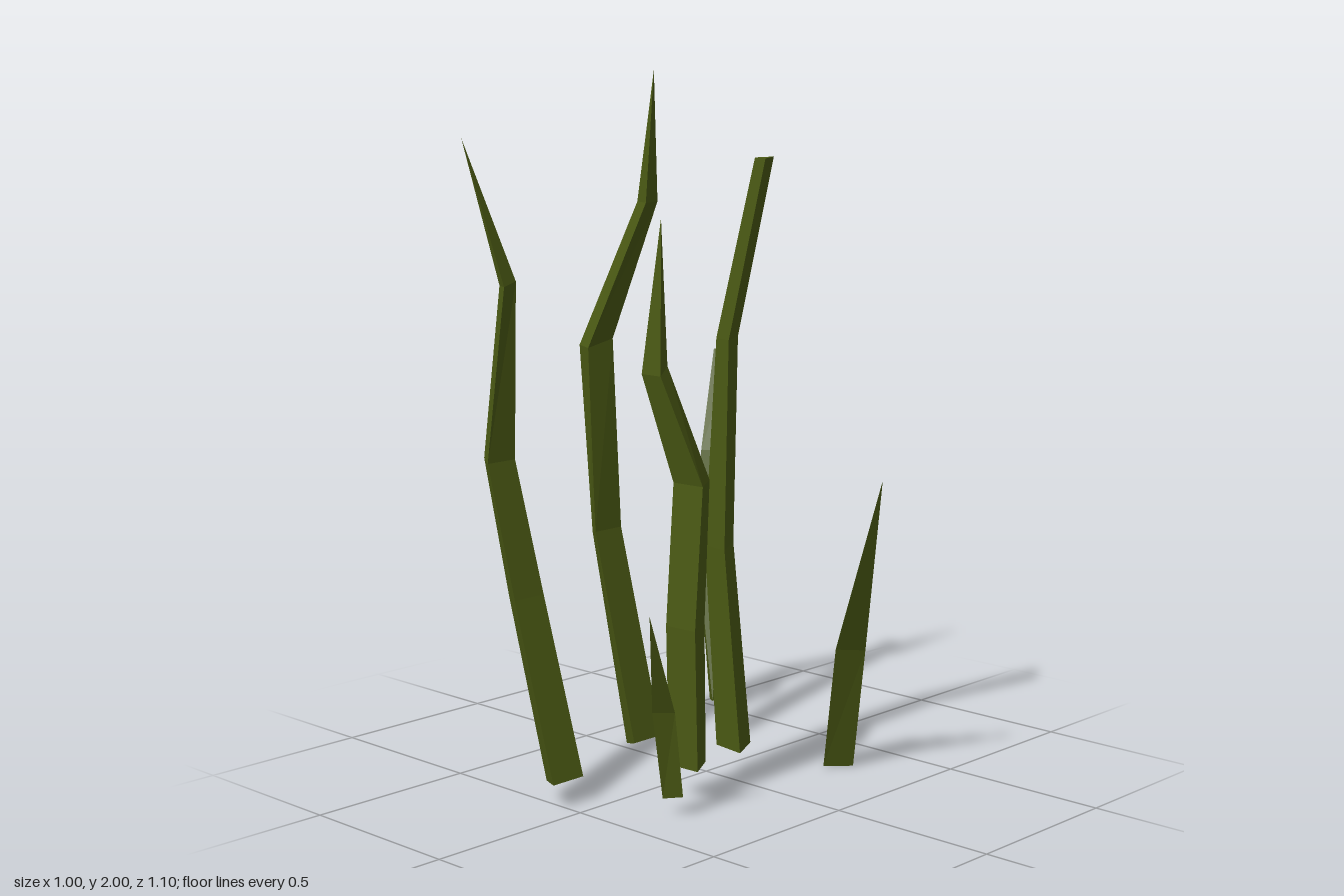
import * as THREE from 'three';

// Lofts a faceted three-sided blade through triangular rings given bottom to top.
// Each ring is [x,y,z, x,y,z, x,y,z]; an optional tip [x,y,z] closes it to a point.
function blade(name, material, rings, tip) {
  const loops = rings.map((r) => [0, 3, 6].map((i) => r.slice(i, i + 3)));
  if (tip) loops.push([tip, tip, tip]);

  // Keep every ring counter-clockwise seen from above so faces point outward
  const [p, q, r] = loops[0];
  const turn = (q[2] - p[2]) * (r[0] - p[0]) - (q[0] - p[0]) * (r[2] - p[2]);
  if (turn < 0) loops.forEach((l) => l.reverse());

  const out = [];
  const tri = (a, b, c) => out.push(...a, ...b, ...c);
  for (let i = 0; i < loops.length - 1; i++) {
    const lo = loops[i];
    const hi = loops[i + 1];
    for (let k = 0; k < 3; k++) {
      const n = (k + 1) % 3;
      tri(lo[k], lo[n], hi[n]);
      if (hi[k] !== hi[n]) tri(lo[k], hi[n], hi[k]);
    }
  }
  const [a, b, c] = loops[0];
  tri(c, b, a); // root cap
  if (!tip) tri(...loops[loops.length - 1]); // blunt end

  const geometry = new THREE.BufferGeometry();
  geometry.setAttribute('position', new THREE.Float32BufferAttribute(out, 3));
  geometry.computeVertexNormals();
  const mesh = new THREE.Mesh(geometry, material);
  mesh.name = name;
  return mesh;
}

export function createModel() {
  const group = new THREE.Group();
  group.name = 'grassTuft';
  const green = new THREE.MeshStandardMaterial({ color: 0x4b5a14, flatShading: true });
  const add = (name, rings, tip) => group.add(blade(name, green, rings, tip));

  // Tallest blade, on the right side of the tuft
  add('tallBlade', [
    [-0.345, 0.01, -0.02, -0.26, 0.04, 0.033, -0.26, 0.04, -0.078],
    [-0.47, 0.64, -0.005, -0.395, 0.66, 0.055, -0.395, 0.66, -0.05],
    [-0.503, 1.2, 0.01, -0.43, 1.2, 0.045, -0.425, 1.22, -0.05],
    [-0.38, 1.62, -0.11, -0.32, 1.62, -0.085, -0.34, 1.62, -0.153],
  ], [-0.33, 2, -0.13]);

  // Front blade leaning outward
  add('frontLeaningBlade', [
    [-0.16, 0.055, 0.476, -0.068, 0.075, 0.535, -0.068, 0.075, 0.423],
    [-0.295, 0.56, 0.485, -0.21, 0.57, 0.54, -0.21, 0.57, 0.433],
    [-0.385, 0.94, 0.49, -0.305, 0.94, 0.547, -0.305, 0.94, 0.447],
    [-0.35, 1.42, 0.455, -0.305, 1.42, 0.478, -0.325, 1.43, 0.417],
  ], [-0.447, 1.82, 0.5]);

  // Rear blade arching backward, with a blunt end
  add('rearArchedBlade', [
    [-0.24, 0.115, -0.27, -0.185, 0.13, -0.223, -0.176, 0.13, -0.29],
    [-0.33, 0.48, -0.335, -0.313, 0.5, -0.3, -0.25, 0.5, -0.334],
    [-0.375, 0.83, -0.41, -0.383, 0.85, -0.383, -0.325, 0.85, -0.413],
    [-0.435, 1.14, -0.545, -0.462, 1.14, -0.523, -0.4, 1.15, -0.55],
  ]);

  // Short rear blade on the left
  add('shortRearBlade', [
    [0.185, 0.015, -0.334, 0.275, 0.005, -0.33, 0.226, 0.01, -0.255],
    [0.26, 0.41, -0.285, 0.345, 0.37, -0.295, 0.302, 0.38, -0.215],
  ], [0.5, 0.9, -0.172]);

  // Central blade with a blunt end
  add('centreBlade', [
    [0.055, 0.1, 0.015, 0.16, 0.1, 0.03, 0.11, 0.1, -0.068],
    [0.023, 0.68, 0.03, 0.11, 0.68, 0.042, 0.055, 0.68, -0.054],
    [0.053, 1.27, 0.015, 0.12, 1.27, 0.037, 0.07, 1.27, -0.055],
    [0.168, 1.77, -0.015, 0.226, 1.77, 0.007, 0.173, 1.77, -0.086],
  ]);

  // Front blade with a forward kink
  add('frontKinkedBlade', [
    [0.085, 0.1, 0.24, 0.19, 0.1, 0.235, 0.14, 0.1, 0.15],
    [0.09, 0.5, 0.255, 0.195, 0.5, 0.25, 0.145, 0.5, 0.16],
    [0.105, 0.9, 0.24, 0.21, 0.9, 0.235, 0.15, 0.9, 0.145],
    [0.057, 1.2, 0.312, 0.128, 1.2, 0.312, 0.1, 1.22, 0.257],
  ], [0.11, 1.62, 0.29]);

  // Smallest blade, at the front left
  add('smallFrontBlade', [
    [0.173, 0.05, 0.355, 0.226, 0.06, 0.33, 0.176, 0.065, 0.3],
    [0.197, 0.31, 0.418, 0.243, 0.31, 0.378, 0.203, 0.32, 0.36],
  ], [0.28, 0.605, 0.51]);

  return group;
}
